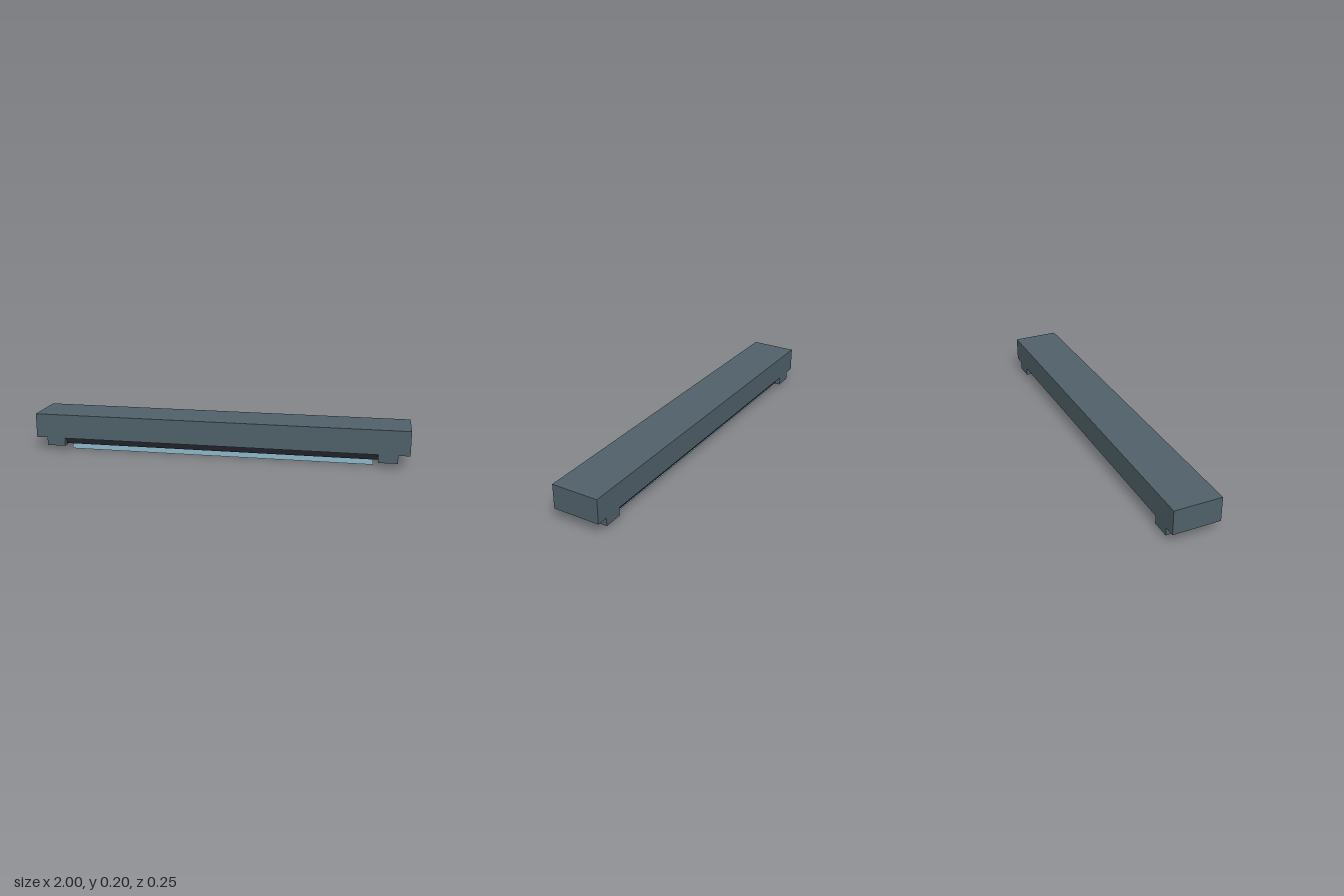
import * as THREE from 'three';

export function createModel() {
  const group = new THREE.Group();
  const housingGrey = new THREE.MeshStandardMaterial({ color: 0x50616a });
  const recessBlack = new THREE.MeshStandardMaterial({ color: 0x1f222b });
  const lensBlue = new THREE.MeshStandardMaterial({ color: 0x8fbacb });

  // Housing: bar with a stepped foot near each end, one profile along z
  const half = [[0.84, 0.07], [0.84, 0.027], [0.94, 0.027], [0.94, 0.07], [1, 0.07], [1, 0.2]];
  const outline = [...half, ...half.map(([x, y]) => [-x, y]).reverse()];
  const shape = new THREE.Shape(outline.map(([x, y]) => new THREE.Vector2(x, y)));
  const housingGeo = new THREE.ExtrudeGeometry(shape, { depth: 0.25, bevelEnabled: false });
  housingGeo.translate(0, 0, -0.125);
  const housing = new THREE.Mesh(housingGeo, housingGrey);
  housing.name = 'housing';
  group.add(housing);

  // Slab centred on x and z between two heights
  const slab = (name, width, depth, bottom, top, material) => {
    const mesh = new THREE.Mesh(new THREE.BoxGeometry(width, top - bottom, depth), material);
    mesh.position.y = (bottom + top) / 2;
    mesh.name = name;
    group.add(mesh);
  };

  // Dark tray between the feet, with the light strip hanging below it
  slab('tray', 1.68, 0.2, 0.036, 0.071, recessBlack);
  slab('lightStrip', 1.63, 0.146, 0, 0.037, lensBlue);

  return group;
}
